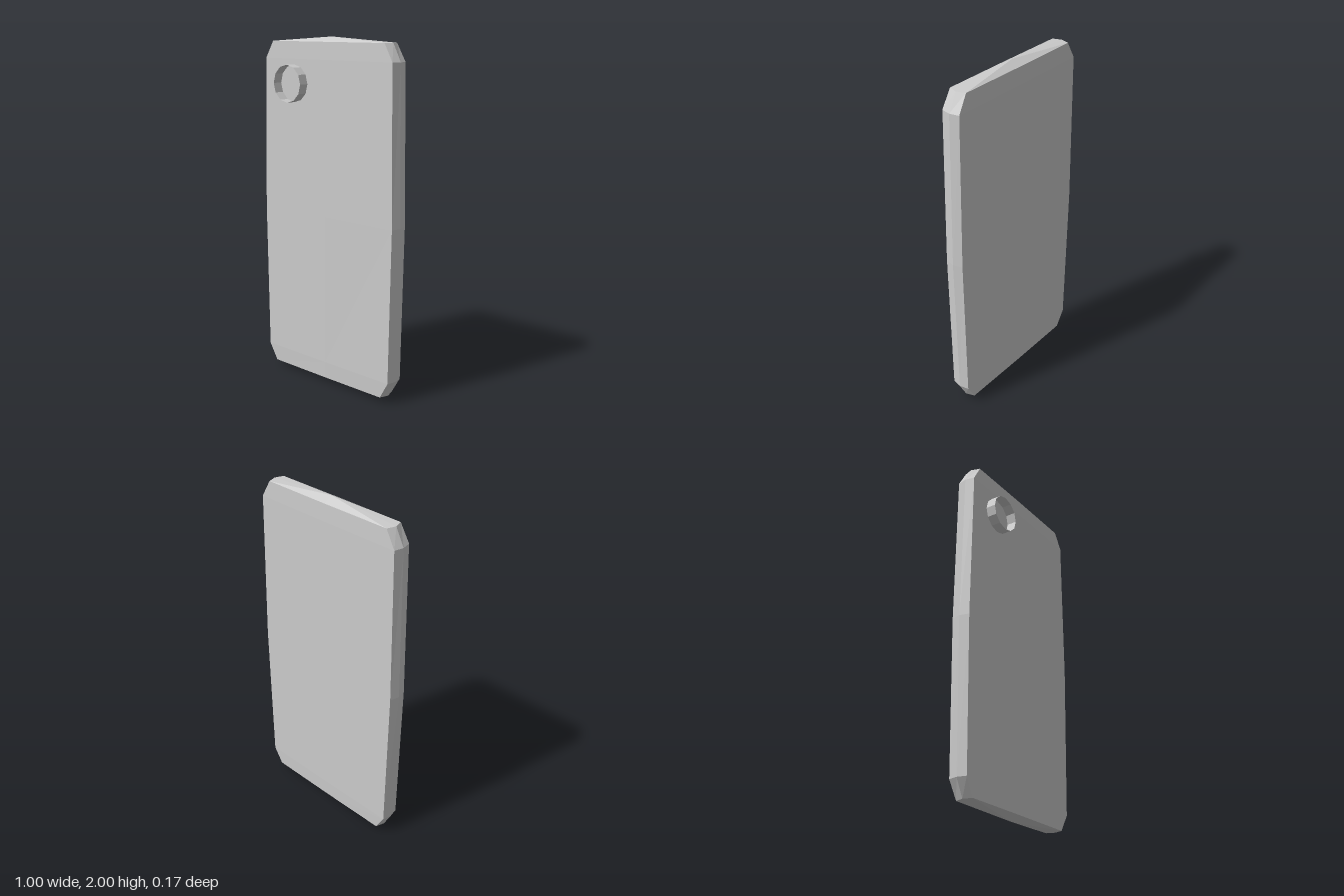
import * as THREE from 'three';

const grey = new THREE.MeshStandardMaterial({ color: 0xcccccc, flatShading: true });
const open = new THREE.MeshStandardMaterial({ color: 0xcccccc, flatShading: true, side: THREE.DoubleSide });

// One horizontal eight-point section, counter-clockwise from above.
// w: half width at the face edges, m: at the mid ridge, d: half depth at the edges, c: at the centre
function section({ y, w, m, d, c }) {
  return [[0, c], [w, d], [m, 0], [w, -d], [0, -c], [-w, -d], [-m, 0], [-w, d]]
    .map(([x, z]) => [x, y, z]);
}

function slabGeometry() {
  const half = [
    { y: 0.028, w: 0.415, m: 0.432, d: 0.051, c: 0.053 },
    { y: 0.125, w: 0.471, m: 0.483, d: 0.054, c: 0.056 },
  ];
  const middle = { y: 1, w: 0.486, m: 0.5, d: 0.055, c: 0.058 };
  const mirrored = half.map((s) => ({ ...s, y: 2 - s.y })).reverse();
  const rings = [...half, middle, ...mirrored].map(section);
  const bottom = [0, 0, 0], top = [0, 2, 0];
  const points = [];
  const tri = (a, b, c) => points.push(...a, ...b, ...c);
  const last = rings[rings.length - 1];
  for (let i = 0; i < 8; i++) {
    const j = (i + 1) % 8;
    // walls between neighbouring sections
    for (let r = 0; r < rings.length - 1; r++) {
      const lo = rings[r], hi = rings[r + 1];
      tri(lo[i], lo[j], hi[j]);
      tri(lo[i], hi[j], hi[i]);
    }
    // shallow pyramids closing both ends
    tri(bottom, rings[0][j], rings[0][i]);
    tri(top, last[i], last[j]);
  }
  const g = new THREE.BufferGeometry();
  g.setAttribute('position', new THREE.Float32BufferAttribute(points, 3));
  g.computeVertexNormals();
  return g;
}

export function createModel() {
  const group = new THREE.Group();
  group.name = 'phone';

  // Gently bulging slab with cut corners
  const body = new THREE.Mesh(slabGeometry(), grey);
  body.name = 'body';
  body.position.z = -0.028;
  group.add(body);

  // Open twelve-sided ring around the camera
  const ring = new THREE.CylinderGeometry(0.106, 0.106, 0.06, 12, 1, true);
  ring.rotateX(Math.PI / 2);
  const cameraRing = new THREE.Mesh(ring, open);
  cameraRing.name = 'cameraRing';
  cameraRing.position.set(-0.242, 1.738, 0.055);
  group.add(cameraRing);

  return group;
}
